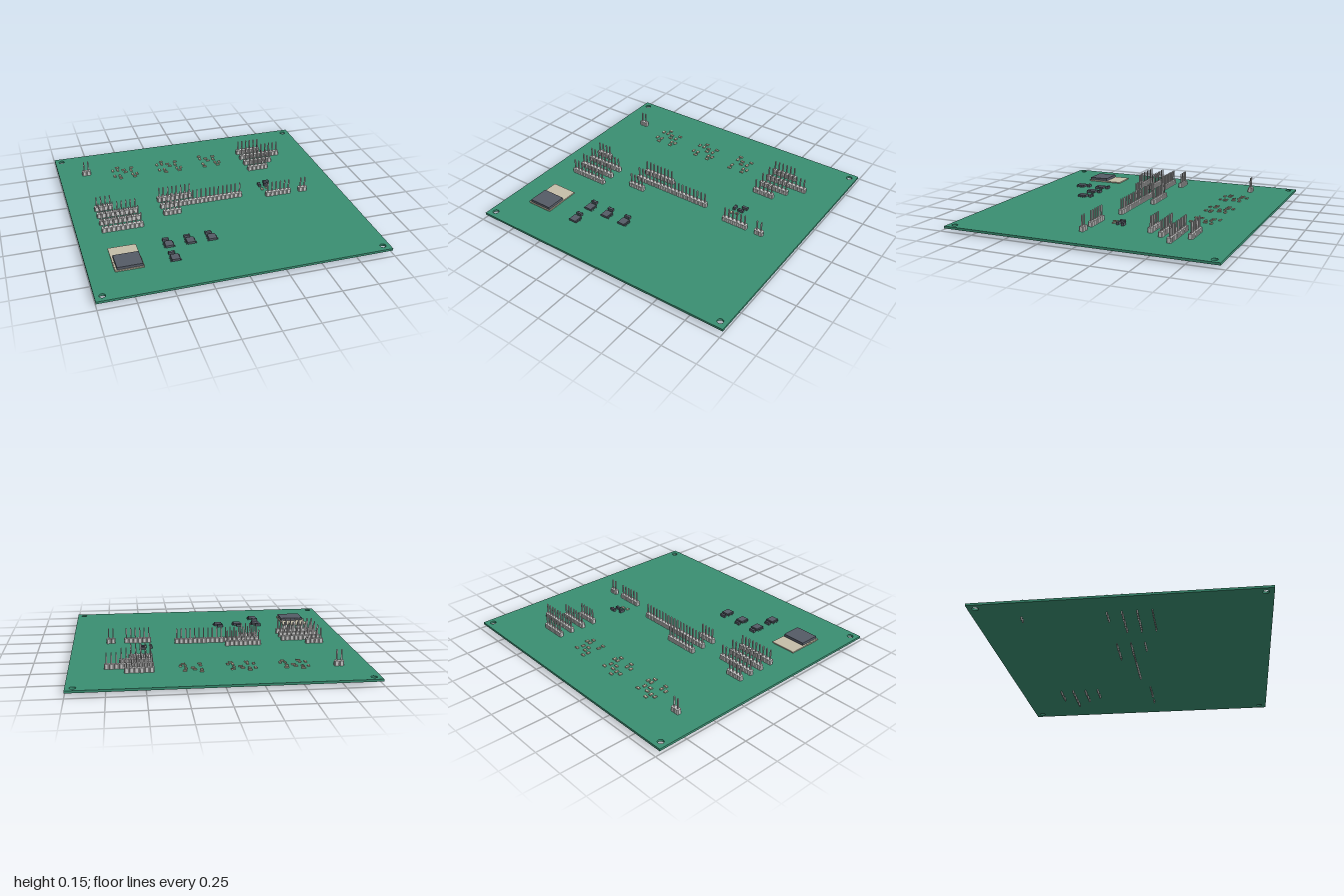
import * as THREE from 'three';

const mat = (color) => new THREE.MeshStandardMaterial({ color });
const green = mat(0x3a8f72), grey = mat(0xcccccc), dark = mat(0x555b66), beige = mat(0xc4bea8);
const TOP = 0.039, PITCH = 0.0327;

// Box resting with its underside at y
function box(parent, name, material, w, h, d, x, y, z) {
  const m = new THREE.Mesh(new THREE.BoxGeometry(w, h, d), material);
  m.name = name;
  m.position.set(x, y + h / 2, z);
  parent.add(m);
  return m;
}

function group(parent, name, x = 0, z = 0) {
  const g = new THREE.Group();
  g.name = name;
  g.position.set(x, 0, z);
  parent.add(g);
  return g;
}

// Board plate with four mounting holes
function board(parent) {
  const w = 1, d = 0.967;
  const s = new THREE.Shape([[-w, -d], [w, -d], [w, d], [-w, d]].map(([x, y]) => new THREE.Vector2(x, y)));
  for (const x of [-0.95, 0.95]) for (const y of [-0.915, 0.915]) {
    s.holes.push(new THREE.Path().absarc(x, y, 0.021, 0, Math.PI * 2, true));
  }
  const geo = new THREE.ExtrudeGeometry(s, { depth: 0.016, bevelEnabled: false, curveSegments: 16 });
  geo.rotateX(-Math.PI / 2).translate(0, TOP - 0.016, 0);
  const m = new THREE.Mesh(geo, green);
  m.name = 'board';
  parent.add(m);
}

// Chamfered housing cell, one per pin
function cellGeometry() {
  const a = PITCH / 2, b = 0.0105;
  const s = new THREE.Shape([[-a, -b], [-b, -a], [b, -a], [a, -b], [a, b], [b, a], [-b, a], [-a, b]]
    .map(([x, y]) => new THREE.Vector2(x, y)));
  return new THREE.ExtrudeGeometry(s, { depth: 0.034, bevelEnabled: false }).rotateX(-Math.PI / 2);
}
const cell = cellGeometry();

// Pin header: row of cells and square pins, starting at its left end
function header(parent, x, z, count) {
  const g = group(parent, 'pinHeader', x, z);
  for (let i = 0; i < count; i++) {
    const px = (i + 0.5) * PITCH;
    const c = new THREE.Mesh(cell, grey);
    c.name = 'housing';
    c.position.set(px, TOP, 0);
    g.add(c);
    box(g, 'pin', grey, 0.0085, 0.146, 0.0085, px, 0, 0);
    // tapered tip
    const tip = new THREE.Mesh(new THREE.CylinderGeometry(0.003, 0.006, 0.005, 4).rotateY(Math.PI / 4), grey);
    tip.name = 'pinTip';
    tip.position.set(px, 0.1485, 0);
    g.add(tip);
  }
}

// Eight-lead chip with bent leads
function chip(parent, x, z) {
  const g = group(parent, 'chip', x, z);
  box(g, 'chipBody', dark, 0.055, 0.015, 0.064, 0, TOP + 0.002, 0);
  for (const s of [-1, 1]) for (let i = 0; i < 4; i++) {
    const lz = (i - 1.5) * 0.0164;
    box(g, 'leadShoulder', dark, 0.008, 0.003, 0.006, s * 0.029, TOP + 0.007, lz);
    box(g, 'leadLeg', dark, 0.003, 0.01, 0.006, s * 0.032, TOP, lz);
    box(g, 'leadFoot', dark, 0.007, 0.002, 0.006, s * 0.035, TOP, lz);
  }
}

// Two-terminal surface part; its long side decides where the end caps go
function passive(parent, material, x, z, w, d, h) {
  const g = group(parent, 'surfacePart', x, z);
  const along = w > d;
  box(g, 'partBody', material, w * 0.94, h * 0.92, d * 0.94, 0, TOP, 0);
  for (const s of [-1, 1]) {
    if (along) box(g, 'endCap', material, w * 0.22, h, d, s * w * 0.39, TOP, 0);
    else box(g, 'endCap', material, w, h, d * 0.22, 0, TOP, s * d * 0.39);
  }
}

// Radio module: carrier, shield can and edge pads
function radioModule(parent) {
  const g = group(parent, 'radioModule', -0.731, 0.561);
  box(g, 'carrier', beige, 0.192, 0.008, 0.272, 0, TOP, 0);
  box(g, 'shieldCan', dark, 0.172, 0.02, 0.146, 0.003, TOP + 0.008, 0.056);
  for (const s of [-1, 1]) for (let i = 0; i < 8; i++) {
    box(g, 'edgePad', beige, 0.008, 0.01, 0.009, s * 0.094, TOP, 0.022 + i * 0.0145);
  }
  for (let i = 0; i < 8; i++) {
    box(g, 'edgePad', beige, 0.009, 0.01, 0.006, (i - 3.5) * 0.0185, TOP, 0.134);
  }
}

export function createModel() {
  const model = new THREE.Group();
  model.name = 'circuitBoard';
  board(model);

  // Headers: left end x, z, pin count
  [[-0.825, -0.65, 2], [0.437, -0.65, 6], [0.437, -0.555, 10], [0.437, -0.457, 7], [0.437, -0.359, 5],
    [-0.825, -0.091, 4], [-0.825, 0.007, 9], [-0.825, 0.105, 9], [-0.825, 0.203, 9],
    [-0.362, -0.091, 8], [-0.362, 0.007, 19], [-0.362, 0.105, 4],
    [0.43, 0.062, 6], [0.69, 0.062, 2]].forEach((h) => header(model, ...h));

  radioModule(model);

  // Chips, each with a capacitor behind it
  for (const [x, z] of [[-0.422, 0.494], [-0.272, 0.494], [-0.12, 0.494], [-0.422, 0.66]]) {
    chip(model, x, z);
    passive(model, dark, x - 0.01, z - 0.06, 0.042, 0.02, 0.02);
  }

  // Small dark and pale parts near the right-hand header
  passive(model, dark, 0.437, -0.095, 0.018, 0.038, 0.02);
  passive(model, dark, 0.5, -0.128, 0.042, 0.019, 0.02);
  passive(model, dark, 0.49, -0.085, 0.042, 0.018, 0.02);
  passive(model, beige, 0.439, -0.038, 0.017, 0.024, 0.008);
  passive(model, beige, 0.481, -0.048, 0.024, 0.017, 0.008);

  // Repeated clusters of pale parts: x, z, 1 = lying along x
  const cluster = [[-0.045, -0.086, 1], [-0.048, -0.043, 0], [-0.003, -0.038, 1], [0.064, -0.059, 1],
    [0.053, -0.011, 0], [0.007, 0, 1], [-0.048, 0.048, 0], [0.053, 0.048, 0], [0.086, 0.048, 0],
    [-0.045, 0.088, 1], [0.064, 0.088, 1]];
  const leftPair = [[-0.088, -0.043, 0], [-0.088, 0.048, 0]];
  [-0.499, -0.143, 0.175].forEach((cx, i) => {
    const g = group(model, 'partCluster', cx, -0.602);
    for (const [x, z, along] of i < 2 ? [...cluster, ...leftPair] : cluster) {
      passive(g, beige, x, z, along ? 0.026 : 0.017, along ? 0.017 : 0.026, 0.008);
    }
  });
  return model;
}
